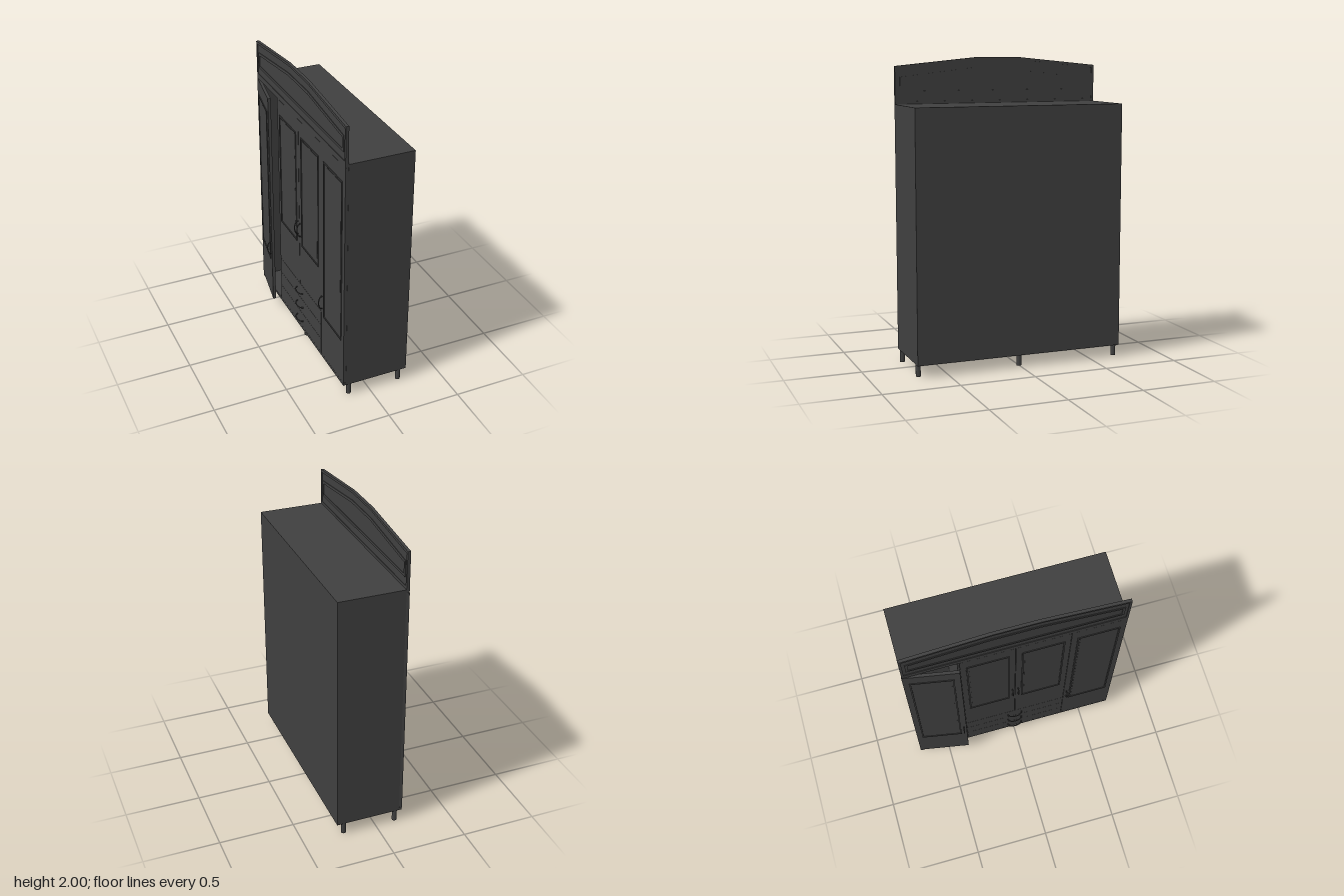
import * as THREE from 'three';

const mat = new THREE.MeshStandardMaterial({ color: 0x404040 });
const W = 0.705;       // half width
const BACK = -0.27, INNER = 0.165, FRONT = 0.185;

function add(parent, name, geo, x = 0, y = 0, z = 0) {
  const m = new THREE.Mesh(geo, mat);
  m.name = name;
  m.position.set(x, y, z);
  parent.add(m);
  return m;
}

// Box given by its limits on each axis
function block(parent, name, x0, x1, y0, y1, z0, z1) {
  return add(parent, name, new THREE.BoxGeometry(x1 - x0, y1 - y0, z1 - z0),
    (x0 + x1) / 2, (y0 + y1) / 2, (z0 + z1) / 2);
}

const outline = (pts) => pts.map(([x, y]) => new THREE.Vector2(x, y));
const rect = (x0, x1, y0, y1) => outline([[x0, y0], [x1, y0], [x1, y1], [x0, y1]]);
const arch = (w, y0, y1, yTop) =>
  outline([[-w, y0], [w, y0], [w, y1], [0.15, yTop], [-0.15, yTop], [-w, y1]]);

// Flat plate or ring
function plate(parent, name, outer, inner, z, depth) {
  const s = new THREE.Shape(outer);
  if (inner) s.holes.push(new THREE.Path(inner));
  return add(parent, name, new THREE.ExtrudeGeometry(s, { depth, bevelEnabled: false }), 0, 0, z);
}

// Bow handle, upright by default
function handle(parent, x, y, z, horizontal = false) {
  const curve = new THREE.CatmullRomCurve3([[-0.05, 0], [-0.044, 0.014], [-0.024, 0.024],
    [0, 0.027], [0.024, 0.024], [0.044, 0.014], [0.05, 0]].map(([a, d]) => new THREE.Vector3(0, a, d)));
  const m = add(parent, 'handle', new THREE.TubeGeometry(curve, 20, 0.004, 8), x, y, z);
  if (horizontal) m.rotation.z = Math.PI / 2;
}

// Door with its origin at the inner hinge edge; side = 1 opens to +x
function door(parent, name, hingeX, side, y0, y1, handleY, open = 0) {
  const g = new THREE.Group();
  g.name = name;
  g.position.set(hingeX, 0, INNER);
  g.rotation.y = -side * open;
  parent.add(g);
  const w = 0.351, t = FRONT - INNER;
  const span = (a, b) => (side > 0 ? [a, b] : [-b, -a]);
  block(g, 'doorLeaf', ...span(0.001, w), y0, y1, 0, t);
  plate(g, 'doorMoulding', rect(...span(0.038, 0.312), y0 + 0.32, y1 - 0.105),
    rect(...span(0.048, 0.302), y0 + 0.33, y1 - 0.115), t, 0.005);
  plate(g, 'doorPanel', rect(...span(0.056, 0.294), y0 + 0.338, y1 - 0.123), null, t, 0.002);
  handle(g, side * (w - 0.018), handleY, t);
}

export function createModel() {
  const root = new THREE.Group();
  root.name = 'wardrobe';
  const g = new THREE.Group();
  g.name = 'cabinet';
  g.rotation.y = -Math.PI / 2; // doors face -x
  root.add(g);

  // Carcass
  block(g, 'topBoard', -W, W, 1.68, 1.70, BACK, FRONT);
  block(g, 'bottomBoard', -W, W, 0.08, 0.10, BACK, FRONT);
  block(g, 'backBoard', -W, W, 0.10, 1.68, BACK, BACK + 0.015);
  for (const s of [-1, 1]) {
    block(g, 'sideBoard', s * (W - 0.01) - 0.01, s * (W - 0.01) + 0.01, 0.10, 1.68, BACK + 0.015, INNER);
    block(g, 'divider', s * 0.353 - 0.01, s * 0.353 + 0.01, 0.10, 1.68, BACK + 0.015, INNER);
  }
  block(g, 'middleShelf', -0.343, 0.343, 0.425, 0.445, BACK + 0.015, INNER);

  // Doors, the first one ajar
  door(g, 'ajarDoor', -W, 1, 0.101, 1.679, 0.525, THREE.MathUtils.degToRad(10));
  door(g, 'sideDoor', W, -1, 0.101, 1.679, 0.525);
  door(g, 'centreDoor', -0.3525, 1, 0.445, 1.679, 0.88);
  door(g, 'centreDoor', 0.3525, -1, 0.445, 1.679, 0.88);

  // Drawers
  for (let i = 0; i < 3; i++) {
    const y = 0.101 + i * 0.1145;
    block(g, 'drawerFront', -0.3515, 0.3515, y, y + 0.1125, INNER, FRONT);
    handle(g, 0, y + 0.056, FRONT, true);
  }

  // Arched crown with a rim and a moulded panel on both faces
  plate(g, 'crownBoard', arch(W, 1.70, 1.945, 2.0), null, INNER + 0.004, 0.012);
  for (const z of [INNER, FRONT - 0.004]) {
    plate(g, 'crownRim', arch(W, 1.70, 1.945, 2.0), arch(W - 0.016, 1.718, 1.928, 1.984), z, 0.004);
    plate(g, 'crownMoulding', arch(0.672, 1.768, 1.875, 1.935), arch(0.655, 1.785, 1.858, 1.915), z, 0.004);
  }

  // Legs
  for (const x of [-0.688, 0, 0.688])
    for (const z of [-0.22, 0.14])
      add(g, 'leg', new THREE.CylinderGeometry(0.016, 0.016, 0.08, 16), x, 0.04, z);

  return root;
}
